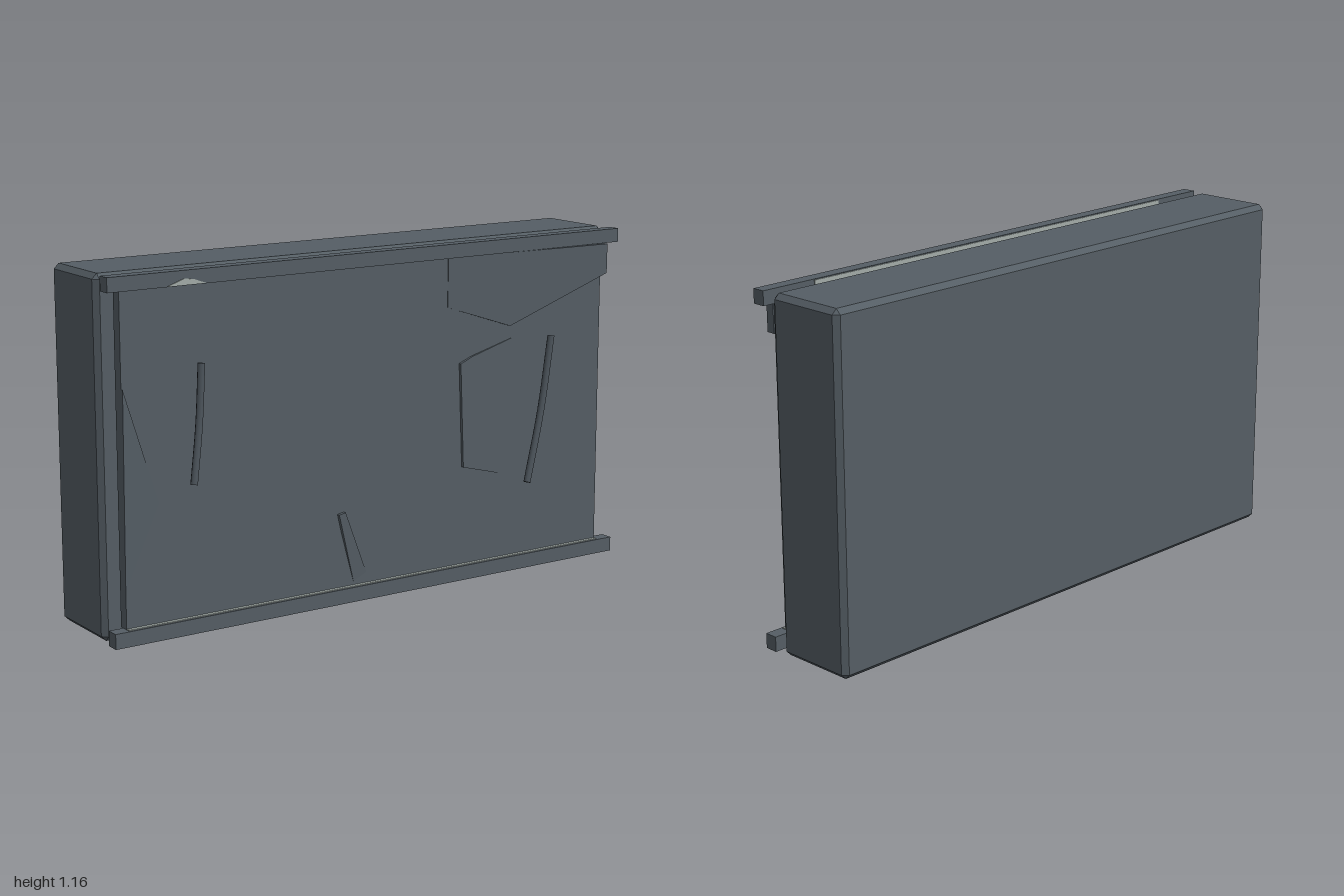
import * as THREE from 'three';
import { ConvexGeometry } from 'three/addons/geometries/ConvexGeometry.js';

const mat = (name, color) => {
  const m = new THREE.MeshStandardMaterial({ color });
  m.name = name;
  return m;
};

export function createModel() {
  const group = new THREE.Group();
  const steel = mat('slate grey', 0x555e65);
  const tubeGrey = mat('dark slate', 0x4b535a);
  const pale = mat('pale grey', 0xa3aca8);

  const add = (name, geometry, material, x = 0, y = 0, z = 0) => {
    const mesh = new THREE.Mesh(geometry, material);
    mesh.name = name;
    mesh.position.set(x, y, z);
    group.add(mesh);
    return mesh;
  };
  const box = (name, x0, x1, y0, y1, z0, z1, material = steel) =>
    add(name, new THREE.BoxGeometry(x1 - x0, y1 - y0, z1 - z0), material,
      (x0 + x1) / 2, (y0 + y1) / 2, (z0 + z1) / 2);

  // Cabinet with every edge chamfered
  const half = [1, 0.5825, 0.145], chamfer = 0.017, points = [];
  for (const sx of [-1, 1]) for (const sy of [-1, 1]) for (const sz of [-1, 1])
    for (let axis = 0; axis < 3; axis++) {
      const p = half.map((h, i) => (i === axis ? h : h - chamfer));
      points.push(new THREE.Vector3(sx * p[0], sy * p[1], sz * p[2]));
    }
  add('cabinet', new ConvexGeometry(points), steel, 0, 0.5825, -0.1);

  // Front panel and the two rails that hold it
  box('frontPanel', -0.95, 0.94, 0.05, 1.118, 0.067, 0.104);
  box('bottomRail', -1, 1, 0, 0.05, 0.08, 0.125);
  box('topRail', -1, 1, 1.118, 1.165, 0.08, 0.125);

  // Pale edges showing beside the rails
  box('topRailEdge', -0.8, 0.8, 1.14, 1.162, 0.077, 0.08, pale);
  box('bottomRailEdge', -0.95, 0.94, 0.05, 0.053, 0.105, 0.118, pale);
  const chip = new THREE.Shape([[-0.795, 1.12], [-0.66, 1.12], [-0.7, 1.135], [-0.735, 1.14]]
    .map(p => new THREE.Vector2(...p)));
  add('railChip', new THREE.ExtrudeGeometry(chip, { depth: 0.004, bevelEnabled: false }), pale, 0, 0, 0.124);

  // Broken panel pieces: flat outline, sheared onto z = z0 + kx * x + ky * y
  const shard = (name, outline, depth, z0, kx, ky) => {
    const shape = new THREE.Shape(outline.map(p => new THREE.Vector2(...p)));
    const geo = new THREE.ExtrudeGeometry(shape, { depth, bevelEnabled: false });
    const pos = geo.attributes.position;
    for (let i = 0; i < pos.count; i++)
      pos.setZ(i, pos.getZ(i) - depth + z0 + kx * pos.getX(i) + ky * pos.getY(i));
    geo.computeVertexNormals();
    add(name, geo, steel);
  };
  shard('upperLeftShard', [[0.28, 1.117], [0.28, 0.95], [0.535, 0.865], [0.94, 1.015], [0.94, 1.117]],
    0.03, 0.084, 0.05, 0.008);
  shard('middleLeftShard', [[0.33, 0.755], [0.345, 0.395], [0.53, 0.345], [0.62, 0.55], [0.55, 0.82], [0.38, 0.775]],
    0.014, 0.128, -0.04, 0);
  shard('rightSideShard', [[-0.95, 0.815], [-0.95, 0.06], [-0.75, 0.06], [-0.82, 0.42]],
    0.02, 0.068, -0.035, 0.016);
  shard('lowerSliver', [[-0.165, 0.305], [-0.1, 0.065], [-0.05, 0.09], [-0.14, 0.31]],
    0.012, 0.1015, 0, 0.06);
  shard('rearShard', [[0.94, 1], [0.75, 0.75], [0.75, 0.45], [0.94, 0.23]],
    0.012, 0.133, -0.07, -0.007);

  // Curved bars standing clear of the panel
  const bar = (name, ...path) => {
    const curve = new THREE.CatmullRomCurve3(path.map(p => new THREE.Vector3(...p)));
    add(name, new THREE.TubeGeometry(curve, 10, 0.012, 8), tubeGrey);
    // Flat end caps facing outwards
    [[0, -1], [1, 1]].forEach(([t, dir]) => {
      const cap = add(name + 'Cap', new THREE.CircleGeometry(0.012, 8), tubeGrey);
      cap.position.copy(curve.getPoint(t));
      cap.lookAt(curve.getPoint(t).addScaledVector(curve.getTangent(t), dir));
    });
  };
  bar('leftCurvedBar', [0.677, 0.825, 0.163], [0.622, 0.575, 0.183], [0.538, 0.338, 0.219]);
  bar('rightCurvedBar', [-0.718, 0.886, 0.192], [-0.738, 0.7, 0.207], [-0.774, 0.518, 0.233]);

  return group;
}
